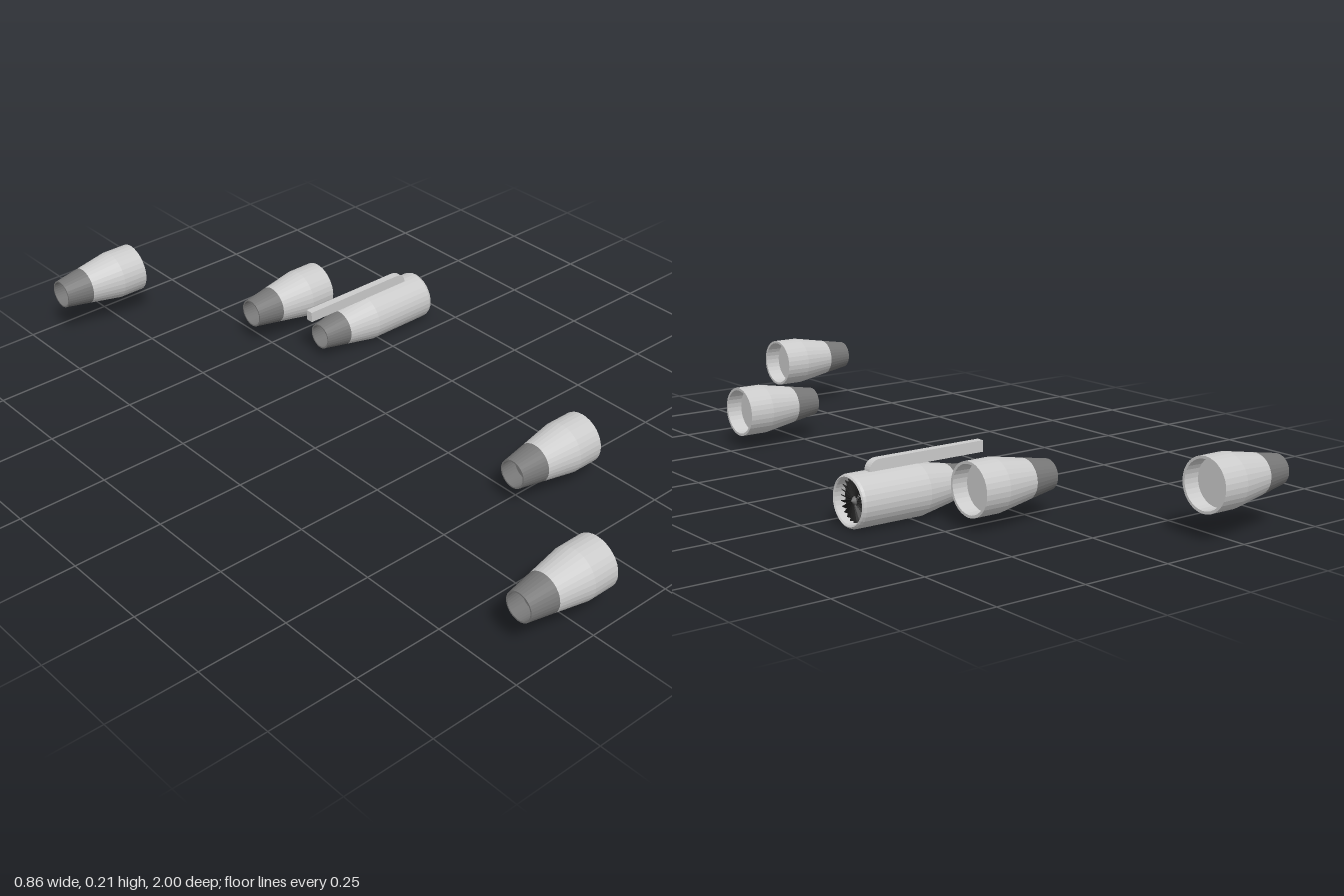
import * as THREE from 'three';

const grey = new THREE.MeshStandardMaterial({ color: 0xcccccc, flatShading: true });
const darkGrey = new THREE.MeshStandardMaterial({ color: 0x777777, flatShading: true });
const black = new THREE.MeshStandardMaterial({ color: 0x222222, flatShading: true });
const SIDES = 32;

function add(parent, name, geometry, material) {
  const mesh = new THREE.Mesh(geometry, material);
  mesh.name = name;
  parent.add(mesh);
  return mesh;
}

// Lathe around the x axis; profile is a list of [x, radius]
function turned(profile) {
  const points = profile.map(([x, r]) => new THREE.Vector2(r, x));
  return new THREE.LatheGeometry(points, SIDES).rotateZ(-Math.PI / 2);
}

// Hollow tail cone, closed inside by a disc
function addExhaust(parent, length, tailR, frontR) {
  add(parent, 'exhaustCone', turned([
    [0.05, 0], [0.05, tailR], [0, tailR - 0.004], [0, tailR], [length, frontR],
  ]), darkGrey);
}

// Plain engine; local x runs from the tail at 0 to the intake at 0.25
function smallEngine(name, x, y, z) {
  const engine = new THREE.Group();
  engine.name = name;
  addExhaust(engine, 0.077, 0.04, 0.053);
  add(engine, 'cowling', turned([
    [0.077, 0.053], [0.175, 0.07], [0.249, 0.07], [0.249, 0.063], [0.205, 0.062], [0.205, 0],
  ]), grey);
  engine.position.set(x, y, z);
  return engine;
}

// Longer engine with a rounded lip, a bladed fan and a pylon
function fanEngine() {
  const engine = new THREE.Group();
  engine.name = 'fanEngine';
  addExhaust(engine, 0.075, 0.037, 0.051);
  add(engine, 'cowling', turned([
    [0.075, 0.051], [0.168, 0.0685], [0.363, 0.0685], [0.37, 0.066],
    [0.373, 0.062], [0.37, 0.058], [0.34, 0.057],
  ]), grey);
  add(engine, 'fanDisc', turned([[0.34, 0.058], [0.34, 0]]), black);
  add(engine, 'spinner', turned([[0.34, 0.014], [0.352, 0.01], [0.362, 0]]), darkGrey);

  // Twisted fan blades
  const blade = new THREE.BoxGeometry(0.012, 0.046, 0.0015);
  blade.rotateY(0.6).translate(0.348, 0.034, 0);
  for (let i = 0; i < 24; i++) {
    add(engine, 'fanBlade', blade, black).rotation.x = (i / 24) * Math.PI * 2;
  }
  engine.position.set(0.055, 0.0685, -0.345);
  return engine;
}

// Bar with a rounded front upper corner
function pylonGeometry() {
  const s = new THREE.Shape();
  s.moveTo(0.018, 0.135);
  s.lineTo(0.37, 0.135);
  s.quadraticCurveTo(0.368, 0.165, 0.335, 0.165);
  s.lineTo(0.018, 0.165);
  s.closePath();
  return new THREE.ExtrudeGeometry(s, { depth: 0.022, bevelEnabled: false, curveSegments: 8 });
}

export function createModel() {
  const model = new THREE.Group();
  model.name = 'engineSet';

  // Inner and outer engine pairs
  for (const side of [1, -1]) {
    const label = side > 0 ? 'Front' : 'Back';
    model.add(smallEngine('outerEngine' + label, -0.43, 0.14, side * 0.93));
    model.add(smallEngine('innerEngine' + label, -0.047, 0.103, side * 0.53));
  }
  model.add(fanEngine());
  add(model, 'pylon', pylonGeometry(), grey).position.z = -0.356;
  return model;
}
